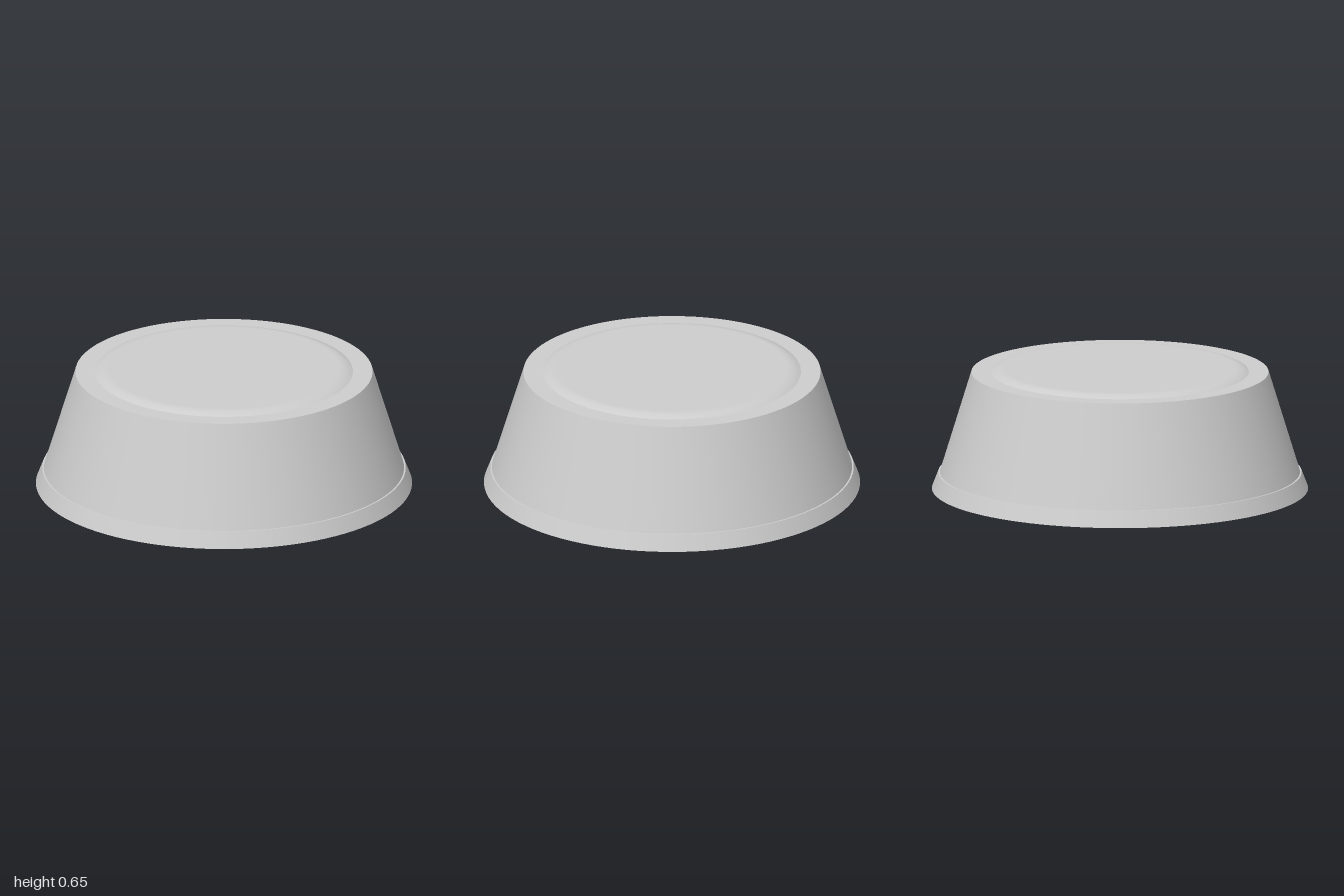
import * as THREE from 'three';

export function createModel() {
  const model = new THREE.Group();
  const grey = new THREE.MeshStandardMaterial({ color: 0xcccccc });
  grey.name = 'light grey';

  // Each section is its own lathe, so edges between sections stay sharp
  const section = (name, points) => {
    const profile = points.map(([r, y]) => new THREE.Vector2(r, y));
    const mesh = new THREE.Mesh(new THREE.LatheGeometry(profile, 96), grey);
    mesh.name = name;
    model.add(mesh);
  };

  // Hollow underside with a stepped wall
  section('cavityCeiling', [[0, 0.61], [0.74, 0.61]]);
  section('upperCavityWall', [[0.74, 0.61], [0.74, 0.45]]);
  section('cavityStep', [[0.74, 0.45], [0.77, 0.45]]);
  section('lowerCavityWall', [[0.77, 0.45], [0.77, 0]]);
  section('bottomRim', [[0.77, 0], [1, 0]]);

  // Flared foot, small ledge and sloping side
  section('foot', [[1, 0], [0.966, 0.087]]);
  section('footLedge', [[0.966, 0.087], [0.957, 0.087]]);
  section('sideWall', [[0.957, 0.087], [0.79, 0.632]]);
  section('topRim', [[0.79, 0.632], [0.685, 0.632]]);

  // Raised disc with a rounded shoulder
  const shoulder = [];
  for (let i = 0; i <= 8; i++) {
    const t = i / 8;
    shoulder.push([0.685 - 0.07 * t, 0.632 + 0.02 * (1 - (1 - t) ** 2)]);
  }
  section('discShoulder', shoulder);
  section('discTop', [[0.615, 0.652], [0, 0.652]]);

  return model;
}
